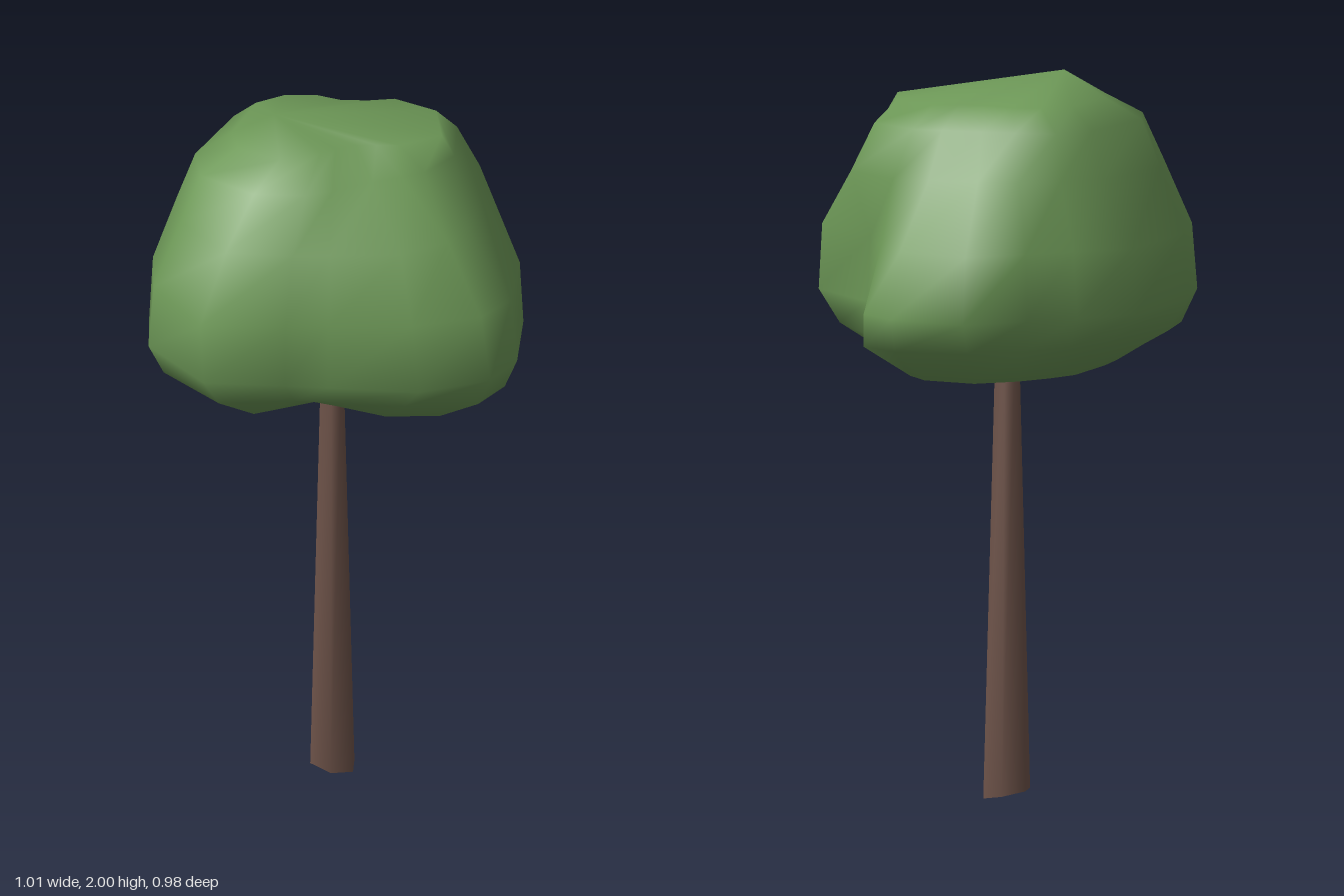
import * as THREE from 'three';
import { mergeVertices } from 'three/addons/utils/BufferGeometryUtils.js';

const barkBrown = new THREE.MeshStandardMaterial({ color: 0x6f544a });
const leafGreen = new THREE.MeshStandardMaterial({ color: 0x6d9857 });

// Crown corners in degrees, from +x round through +z
const crownAngles = [7, 30, 43, 63, 90, 104, 126, 152, 170, 208, 228, 248, 270, 296, 311, 338];

// Stack of uneven rings: each has a height and one radius per angle
const crownRings = [
  { y: 1.195, r: [.28, .35, .40, .32, .23, .22, .36, .34, .29, .27, .27, .29, .33, .33, .30, .27] },
  { y: 1.29, r: [.45, .54, .55, .45, .39, .40, .51, .52, .46, .38, .37, .37, .42, .46, .46, .36] },
  { y: 1.38, r: [.51, .58, .597, .546, .475, .485, .575, .565, .515, .48, .42, .42, .49, .48, .46, .36] },
  { y: 1.56, r: [.50, .56, .56, .50, .46, .48, .59, .55, .505, .47, .40, .40, .455, .44, .40, .35] },
  { y: 1.74, r: [.395, .42, .43, .42, .39, .41, .48, .47, .44, .37, .33, .30, .28, .31, .36, .405] },
  { y: 1.87, r: [.32, .28, .25, .23, .26, .30, .36, .41, .39, .33, .31, .25, .23, .25, .29, .34] },
  { y: 1.93, r: [.285, .20, .15, .12, .13, .16, .25, .30, .29, .26, .23, .19, .15, .17, .22, .28] },
];

function crownGeometry() {
  const sides = crownAngles.length;
  const pos = [];
  const index = [];
  for (const { y, r } of crownRings) {
    r.forEach((radius, i) => {
      const a = THREE.MathUtils.degToRad(crownAngles[i]);
      pos.push(radius * Math.cos(a), y, radius * Math.sin(a));
    });
  }
  const bottom = pos.length / 3;
  const top = bottom + 1;
  pos.push(0, 1.23, 0, -0.17, 2.0, 0.07);

  const last = (crownRings.length - 1) * sides;
  for (let i = 0; i < sides; i++) {
    const j = (i + 1) % sides;
    for (let k = 0; k < last; k += sides) {
      index.push(k + i, k + sides + i, k + j, k + j, k + sides + i, k + sides + j);
    }
    index.push(bottom, i, j); // underside
    index.push(top, last + j, last + i); // summit
  }
  const geo = new THREE.BufferGeometry();
  geo.setAttribute('position', new THREE.Float32BufferAttribute(pos, 3));
  geo.setIndex(index);
  geo.computeVertexNormals();
  return geo;
}

// Six-sided tapered trunk, foot cut at a slight slant, smooth over its edges
function trunkGeometry() {
  const height = 1.32;
  const cylinder = new THREE.CylinderGeometry(0.032, 0.067, height, 6);
  cylinder.translate(0, height / 2, 0);
  cylinder.deleteAttribute('normal');
  cylinder.deleteAttribute('uv');
  const geo = mergeVertices(cylinder, 0.001);
  const p = geo.attributes.position;
  for (let i = 0; i < p.count; i++) {
    if (p.getY(i) < 0.01) p.setY(i, 0.0117 - p.getX(i) * 0.2);
    else p.setZ(i, p.getZ(i) + 0.01); // slight lean
  }
  geo.translate(-0.012, 0, 0.065);
  geo.computeVertexNormals();
  return geo;
}

export function createModel() {
  const tree = new THREE.Group();
  tree.name = 'tree';

  const trunk = new THREE.Mesh(trunkGeometry(), barkBrown);
  trunk.name = 'trunk';

  const crown = new THREE.Mesh(crownGeometry(), leafGreen);
  crown.name = 'crown';

  tree.add(trunk, crown);
  return tree;
}
